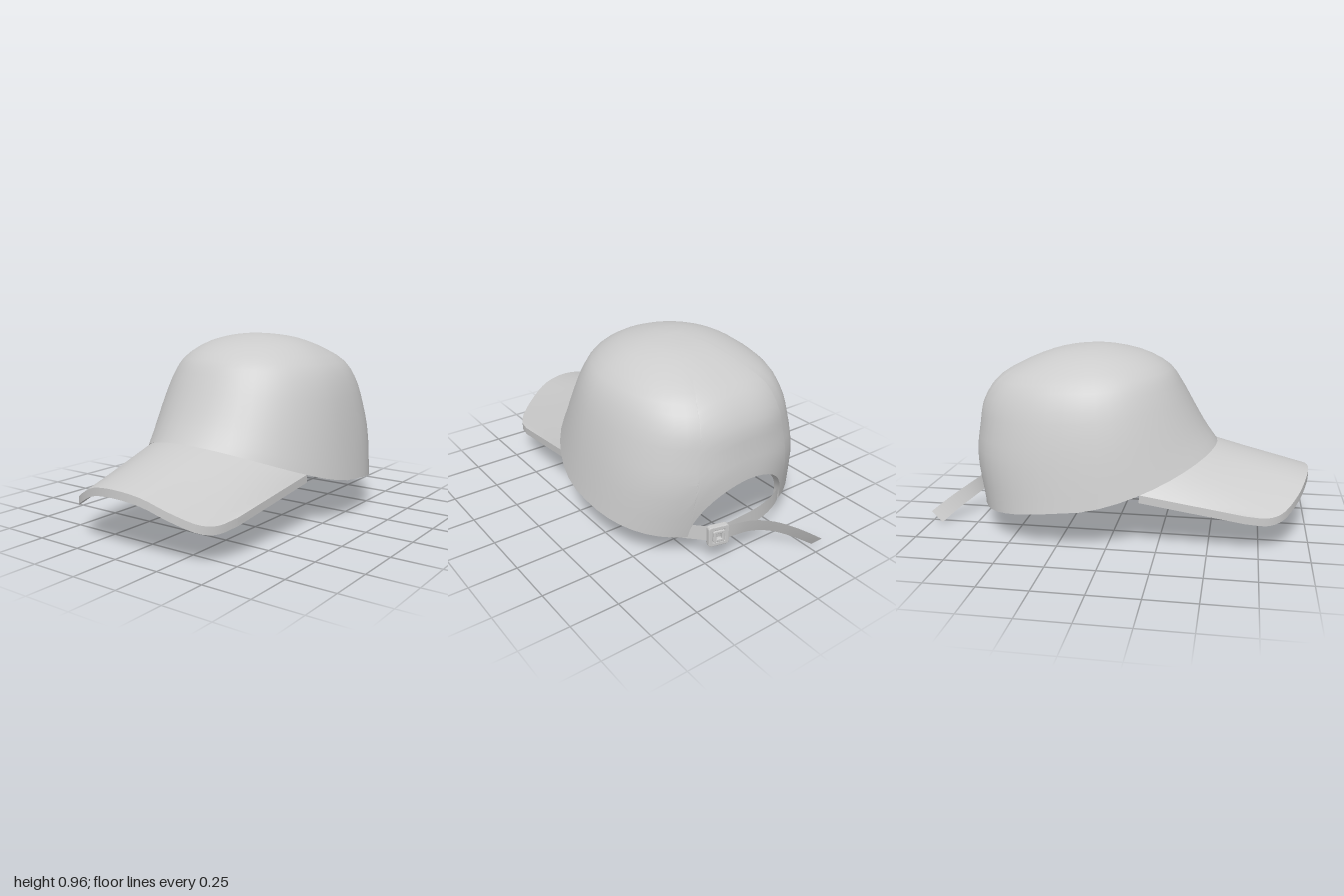
import * as THREE from 'three';
import { toCreasedNormals } from 'three/addons/utils/BufferGeometryUtils.js';

const material = new THREE.MeshStandardMaterial({ color: 0xcccccc, side: THREE.DoubleSide });
const V = (x, y, z) => new THREE.Vector3(x, y, z);

// Surface through a grid of points; fn(i, j) returns a Vector3
function gridMesh(name, cols, rows, fn, crease = 0.7) {
  const pos = [], index = [];
  for (let i = 0; i <= cols; i++)
    for (let j = 0; j <= rows; j++) pos.push(...fn(i, j).toArray());
  const id = (i, j) => i * (rows + 1) + j;
  for (let i = 0; i < cols; i++)
    for (let j = 0; j < rows; j++) {
      const a = id(i, j), b = id(i + 1, j), c = id(i + 1, j + 1), d = id(i, j + 1);
      index.push(a, b, c, a, c, d);
    }
  const g = new THREE.BufferGeometry();
  g.setAttribute('position', new THREE.Float32BufferAttribute(pos, 3));
  g.setIndex(index);
  const mesh = new THREE.Mesh(toCreasedNormals(g, crease), material);
  mesh.name = name;
  return mesh;
}

// Crown rings from rim to top: front z, y | side x, y | back z, y
const LEVELS = [
  [0.52, 0.45, 0.585, 0.215, -0.72, 0.125],
  [0.455, 0.54, 0.553, 0.41, -0.765, 0.40],
  [0.39, 0.65, 0.518, 0.58, -0.75, 0.55],
  [0.33, 0.755, 0.475, 0.72, -0.73, 0.67],
  [0.27, 0.84, 0.42, 0.81, -0.655, 0.785],
  [0.15, 0.91, 0.30, 0.90, -0.53, 0.86],
  [0.0, 0.948, 0.18, 0.94, -0.36, 0.927],
  [-0.07, 0.957, 0.08, 0.955, -0.24, 0.95],
  [-0.14, 0.96, 0, 0.96, -0.14, 0.96],
];
const TOP = LEVELS.length - 1;
const SQUARE = 0.82; // squarer plan at the back

// Point of a ring at angle a (0 = front); inset gives the lining
function ringPoint(level, a, inset = 0) {
  const [zf, yf, X, ys, zb, yb] = LEVELS[level];
  const cz = -0.18 + 0.04 * level / TOP, k = 1 - inset;
  const c = Math.cos(a), s = Math.sin(a), drop = inset * 0.4 * level / TOP;
  if (c >= 0) return V(X * s * k, ys + (yf - ys) * c ** 1.5 - drop, cz + (zf - cz) * c * k);
  const cb = Math.abs(c) ** SQUARE, sb = Math.sign(s) * Math.abs(s) ** SQUARE;
  return V(X * sb * k, ys + (yb - ys) * -c - drop, cz + (zb - cz) * cb * k);
}

function crown() {
  // Columns, closer together around the arched opening
  const half = [];
  const angleAt = (x) => Math.PI - Math.asin((x / 0.585) ** (1 / SQUARE));
  for (let i = 0; i <= 20; i++) half.push({ a: angleAt(0.3) * i / 20, lift: 0 });
  for (let k = 1; k <= 10; k++) {
    const q = k * Math.PI / 20;
    half.push({ a: angleAt(Math.max(0, 0.3 * Math.cos(q))), lift: Math.sin(q) });
  }
  const columns = [...half.slice(1).reverse().map(({ a, lift }) => ({ a: -a, lift })), ...half];
  const n = 20;
  const strips = columns.map(({ a, lift }) => {
    const curve = (inset) => new THREE.CatmullRomCurve3(LEVELS.map((_, l) => ringPoint(l, a, inset)));
    const outer = curve(0), inner = curve(0.05), strip = [];
    const t = (j) => THREE.MathUtils.lerp(lift / TOP, 1, j / n);
    for (let j = n; j >= 0; j--) strip.push(inner.getPoint(t(j)));
    for (let j = 0; j <= n; j++) strip.push(outer.getPoint(t(j)));
    return strip;
  });
  return gridMesh('crown', columns.length - 1, 2 * n + 1, (i, j) => strips[i][j]);
}

function brim() {
  const n = 32, m = 6, thick = 0.04, spread = Math.PI / 3;
  const edge = new THREE.CatmullRomCurve3([
    V(-0.455, 0.203, 0.68), V(-0.425, 0.188, 0.79), V(-0.38, 0.2, 0.86), V(-0.27, 0.255, 0.935),
    V(-0.15, 0.31, 0.98), V(0, 0.33, 1), V(0.15, 0.31, 0.98), V(0.27, 0.255, 0.935),
    V(0.38, 0.2, 0.86), V(0.425, 0.188, 0.79), V(0.455, 0.203, 0.68),
  ]);
  // Loop per column: underside outward, top side back, then closed at the crown
  return gridMesh('brim', n + 2, 2 * m + 2, (i, j) => {
    const u = THREE.MathUtils.clamp((i - 1) / n, 0, 1);
    const cap = i === 0 || i === n + 2;
    const under = j <= m || j === 2 * m + 2;
    const v = j === 2 * m + 2 ? 0 : under ? j / m : (2 * m + 1 - j) / m;
    const p = ringPoint(0, (2 * u - 1) * spread, 0.01).lerp(edge.getPoint(u), v);
    p.y -= cap ? thick / 2 : under ? thick : 0;
    return p;
  }, 0.6);
}

// Flat ribbon along a path, its half width turning from w0 to w1
function ribbon(name, points, w0, w1) {
  const curve = new THREE.CatmullRomCurve3(points), n = 20;
  return gridMesh(name, n, 1, (i, j) =>
    curve.getPoint(i / n).addScaledVector(w0.clone().lerp(w1, i / n), j ? 1 : -1));
}

function frame(outer, inner, depth) {
  const path = (shape, h, r) => {
    shape.moveTo(-h + r, -h);
    shape.lineTo(h - r, -h).quadraticCurveTo(h, -h, h, -h + r);
    shape.lineTo(h, h - r).quadraticCurveTo(h, h, h - r, h);
    shape.lineTo(-h + r, h).quadraticCurveTo(-h, h, -h, h - r);
    shape.lineTo(-h, -h + r).quadraticCurveTo(-h, -h, -h + r, -h);
    return shape;
  };
  const shape = path(new THREE.Shape(), outer, outer * 0.25);
  shape.holes.push(path(new THREE.Path(), inner, inner * 0.2));
  return new THREE.ExtrudeGeometry(shape, {
    depth, bevelEnabled: true, bevelSize: 0.004, bevelThickness: 0.004, bevelSegments: 2, curveSegments: 4,
  }).translate(0, 0, -depth / 2);
}

function buckle() {
  const group = new THREE.Group();
  group.name = 'buckle';
  const rim = new THREE.Mesh(frame(0.05, 0.036, 0.022), material);
  rim.name = 'buckleFrame';
  const clasp = new THREE.Mesh(frame(0.027, 0.018, 0.014), material);
  clasp.name = 'buckleClasp';
  clasp.position.z = -0.008;
  group.add(rim, clasp);
  group.position.set(0.192, 0.16, -0.768);
  group.rotation.y = -0.25;
  return group;
}

export function createModel() {
  const model = new THREE.Group();
  model.name = 'cap';
  const up = V(0, 0.04, 0);
  model.add(crown(), brim(), buckle());
  // Strap closing the opening, and its loose end
  model.add(ribbon('strap', [
    V(-0.35, 0.168, -0.62), V(-0.28, 0.163, -0.68), V(-0.15, 0.155, -0.73), V(0, 0.152, -0.75),
    V(0.19, 0.157, -0.75), V(0.28, 0.163, -0.685), V(0.35, 0.168, -0.62),
  ], up, up));
  model.add(ribbon('strapTail', [
    V(0.23, 0.158, -0.765), V(0.1, 0.155, -0.78), V(0, 0.15, -0.8),
    V(-0.1, 0.128, -0.84), V(-0.2, 0.085, -0.905), V(-0.285, 0.035, -0.968),
  ], up, V(-0.003, 0.031, -0.028)));
  return model;
}
